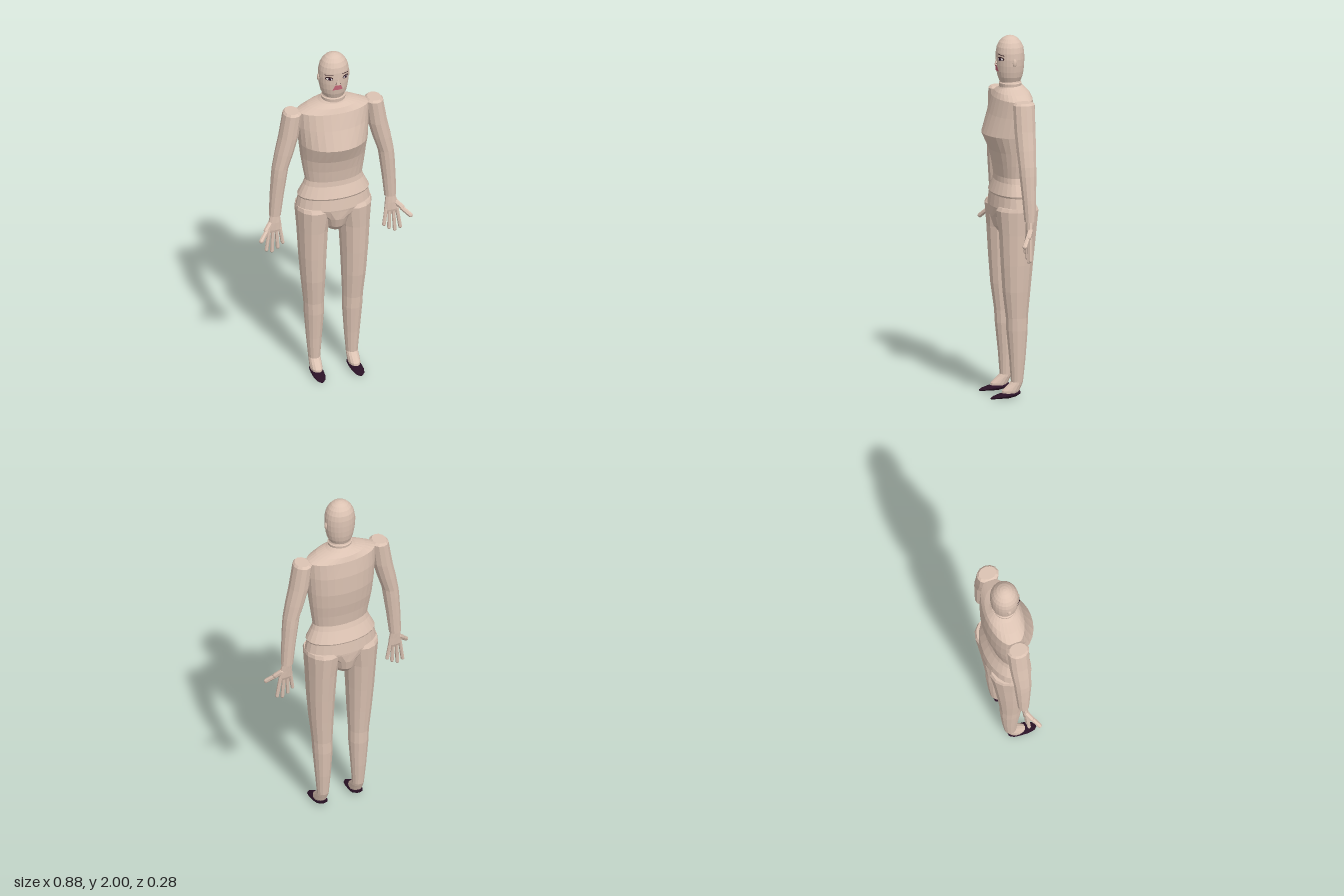
import * as THREE from 'three';

const mat = (name, color) => Object.assign(new THREE.MeshStandardMaterial({ color }), { name });

// Faceted normals for the low-poly look
function facet(geometry) {
  const g = geometry.index ? geometry.toNonIndexed() : geometry;
  g.computeVertexNormals();
  return g;
}

// Closed skin through elliptical rings, listed top to bottom: [y, cx, cz, rx, rzFront, rzBack]
function loft(rings, sides) {
  const pos = [], idx = [];
  for (const [y, cx, cz, rx, rf, rb = rf] of rings) {
    for (let i = 0; i < sides; i++) {
      const a = (i / sides) * Math.PI * 2, s = Math.cos(a);
      pos.push(cx + rx * Math.sin(a), y, cz + s * (s > 0 ? rf : rb));
    }
  }
  for (let r = 0; r < rings.length - 1; r++) {
    for (let i = 0; i < sides; i++) {
      const a = r * sides + i, b = r * sides + (i + 1) % sides;
      idx.push(a, a + sides, b, b, a + sides, b + sides);
    }
  }
  const top = pos.length / 3, end = (rings.length - 1) * sides;
  for (const r of [rings[0], rings[rings.length - 1]]) pos.push(r[1], r[0], r[2]);
  for (let i = 0; i < sides; i++) {
    const j = (i + 1) % sides;
    idx.push(top, i, j, top + 1, end + j, end + i);
  }
  const g = new THREE.BufferGeometry();
  g.setAttribute('position', new THREE.Float32BufferAttribute(pos, 3));
  g.setIndex(idx);
  return facet(g);
}

// Head rings [y, half width, half depth]
const HEAD_Z = -0.013;
const HEAD = [
  [2.0, 0.008, 0.008], [1.995, 0.026, 0.025], [1.984, 0.046, 0.043], [1.965, 0.064, 0.06],
  [1.94, 0.077, 0.072], [1.91, 0.084, 0.077], [1.875, 0.086, 0.078], [1.84, 0.084, 0.077],
  [1.805, 0.079, 0.074], [1.775, 0.072, 0.068], [1.75, 0.06, 0.058], [1.73, 0.05, 0.05],
];

// Depth of the face surface at a point
function faceZ(x, y) {
  let k = HEAD.findIndex((h) => h[0] <= y);
  k = Math.max(1, k);
  const [a, b] = [HEAD[k - 1], HEAD[k]], t = (a[0] - y) / (a[0] - b[0]);
  const rx = THREE.MathUtils.lerp(a[1], b[1], t), rz = THREE.MathUtils.lerp(a[2], b[2], t);
  return HEAD_Z + rz * Math.sqrt(Math.max(0, 1 - (x / rx) ** 2));
}

// Lay a flat geometry onto the face
function ontoFace(geometry, x, y, lift) {
  const g = geometry.translate(x, y, 0), p = g.attributes.position;
  for (let i = 0; i < p.count; i++) p.setZ(i, faceZ(p.getX(i), p.getY(i)) + lift);
  return facet(g);
}

export function createModel() {
  const model = new THREE.Group();
  const skin = mat('skin', 0xdcc3b3), dark = mat('shoe dark plum', 0x2a1226);
  const lip = mat('lip rose', 0xc8687a), white = mat('eye white', 0xe8e2e0);
  const line = mat('brow and lash brown', 0x3a2226);
  const add = (name, geometry, material = skin, parent = model) => {
    const m = new THREE.Mesh(geometry, material);
    m.name = name;
    parent.add(m);
    return m;
  };

  // Head, neck and body
  add('head', loft(HEAD.map(([y, rx, rz]) => [y, 0, HEAD_Z, rx, rz]), 24));
  add('neck', loft([
    [1.765, 0, -0.015, 0.055, 0.05], [1.742, 0, -0.015, 0.062, 0.058],
    [1.738, 0, -0.015, 0.068, 0.062], [1.72, 0, -0.015, 0.066, 0.06], [1.68, 0, -0.015, 0.075, 0.06],
  ], 24));
  add('torso', loft([
    [1.725, 0, -0.018, 0.062, 0.058, 0.062], [1.71, 0, -0.02, 0.085, 0.068, 0.075],
    [1.69, 0, -0.022, 0.145, 0.088, 0.092], [1.662, 0, -0.025, 0.205, 0.105, 0.1],
    [1.57, 0, -0.025, 0.203, 0.13, 0.11], [1.46, 0, -0.025, 0.195, 0.166, 0.108],
    [1.37, 0, -0.025, 0.185, 0.125, 0.095], [1.3, 0, -0.02, 0.175, 0.102, 0.085],
    [1.23, 0, -0.015, 0.163, 0.085, 0.08], [1.2, 0, -0.015, 0.172, 0.087, 0.09],
    [1.135, 0, -0.018, 0.204, 0.115, 0.118], [1.125, 0, -0.018, 0.2, 0.11, 0.114],
  ], 28));
  add('pelvis', loft([
    [1.14, 0, -0.02, 0.196, 0.11, 0.112], [1.06, 0, -0.02, 0.213, 0.121, 0.12],
    [1.05, 0, -0.02, 0.195, 0.12, 0.12], [1.0, 0, -0.02, 0.095, 0.118, 0.118],
    [0.945, 0, -0.02, 0.07, 0.1, 0.105], [0.915, 0, -0.02, 0.05, 0.075, 0.08],
  ], 24));

  // Face details
  add('nose', facet(new THREE.ConeGeometry(0.012, 0.05, 6).scale(1, 1, 1.1).translate(0, 1.865, 0.063)));
  const mouth = new THREE.PlaneGeometry(1, 0.03, 8, 2), mp = mouth.attributes.position;
  for (let i = 0; i < mp.count; i++) mp.setX(i, mp.getX(i) * (0.046 - mp.getY(i) * 0.9));
  add('lips', ontoFace(mouth, 0, 1.822, 0.004), lip);

  for (const s of [1, -1]) {
    const side = new THREE.Group();
    side.name = s > 0 ? 'leftSide' : 'rightSide';
    model.add(side);
    const part = (name, g, m) => add(name, g, m, side);
    const ellipse = (rx, ry) => new THREE.CircleGeometry(1, 14).scale(rx, ry, 1);

    part('eyeOutline', ontoFace(ellipse(0.02, 0.0115), s * 0.047, 1.88, 0.003), line);
    part('eyeWhite', ontoFace(ellipse(0.016, 0.0075), s * 0.047, 1.879, 0.0045), white);
    part('iris', ontoFace(ellipse(0.0075, 0.0075), s * 0.046, 1.879, 0.006), dark);
    part('eyebrow', ontoFace(new THREE.PlaneGeometry(0.042, 0.004, 6, 1).rotateZ(-s * 0.15), s * 0.046, 1.902, 0.003), line);
    part('nostril', ontoFace(ellipse(0.004, 0.0025), s * 0.012, 1.848, 0.005), line);
    part('ear', facet(new THREE.SphereGeometry(1, 8, 6).scale(0.008, 0.022, 0.012).translate(s * 0.086, 1.86, -0.015)));

    // Arm from shoulder cap to cuff
    part('arm', loft([
      [1.672, s * 0.238, -0.022, 0.038, 0.05], [1.66, s * 0.235, -0.022, 0.052, 0.062],
      [1.52, s * 0.256, -0.022, 0.055, 0.06], [1.42, s * 0.281, -0.022, 0.052, 0.056],
      [1.33, s * 0.304, -0.022, 0.045, 0.05], [1.28, s * 0.31, -0.023, 0.044, 0.048],
      [1.15, s * 0.323, -0.026, 0.039, 0.039], [1.028, s * 0.332, -0.028, 0.034, 0.031],
    ], 12));

    // Hand
    const hand = new THREE.Group();
    hand.name = 'hand';
    side.add(hand);
    add('palm', loft([
      [1.035, s * 0.333, -0.026, 0.026, 0.02], [0.985, s * 0.335, -0.022, 0.036, 0.018],
      [0.94, s * 0.336, -0.02, 0.042, 0.015], [0.925, s * 0.336, -0.019, 0.038, 0.01],
    ], 10), skin, hand);
    const digit = (name, from, to, r) => {
      const a = new THREE.Vector3(...from), b = new THREE.Vector3(...to);
      a.x *= s; b.x *= s;
      const d = b.clone().sub(a), g = new THREE.CapsuleGeometry(r, d.length() - r * 2, 3, 7);
      const m = add(name, facet(g), skin, hand);
      m.position.copy(a).add(b).multiplyScalar(0.5);
      m.quaternion.setFromUnitVectors(new THREE.Vector3(0, 1, 0), d.normalize());
    };
    [[0.366, 0.387, 0.81], [0.346, 0.354, 0.798], [0.326, 0.32, 0.815], [0.307, 0.29, 0.84]]
      .forEach(([x0, x1, y1]) => digit('finger', [x0, 0.95, -0.02], [x1, y1, -0.014], 0.0105));
    digit('thumb', [0.35, 0.99, -0.028], [0.4, 0.94, 0.004], 0.015);
    digit('thumbTip', [0.38, 0.955, -0.006], [0.438, 0.9, 0.036], 0.013);

    // Leg down to the arched foot
    part('leg', loft([
      [1.07, s * 0.112, -0.02, 0.1, 0.105, 0.11], [1.05, s * 0.112, -0.02, 0.104, 0.117, 0.12],
      [0.92, s * 0.12, -0.018, 0.086, 0.103, 0.107], [0.75, s * 0.12, -0.017, 0.077, 0.092, 0.09],
      [0.6, s * 0.117, -0.016, 0.068, 0.08, 0.077], [0.45, s * 0.112, -0.018, 0.057, 0.061, 0.062],
      [0.38, s * 0.11, -0.02, 0.056, 0.06, 0.06], [0.22, s * 0.109, -0.022, 0.044, 0.045, 0.046],
      [0.09, s * 0.108, -0.02, 0.033, 0.033, 0.034], [0.075, s * 0.108, -0.012, 0.034, 0.04, 0.036],
      [0.042, s * 0.109, 0.01, 0.034, 0.055, 0.044], [0.03, s * 0.109, 0.015, 0.032, 0.052, 0.042],
    ], 14));

    // Shoe lofted heel to toe, then laid forward: [along, x, height, half width, half thickness]
    const shoe = loft([
      [0.128, s * 0.112, -0.004, 0.008, 0.004], [0.11, s * 0.112, -0.008, 0.025, 0.008],
      [0.075, s * 0.111, -0.014, 0.034, 0.014], [0.03, s * 0.109, -0.018, 0.036, 0.018],
      [-0.01, s * 0.108, -0.024, 0.034, 0.016], [-0.035, s * 0.108, -0.031, 0.022, 0.01],
    ], 12).rotateX(Math.PI / 2);
    part('shoe', shoe, dark);
  }
  return model;
}
